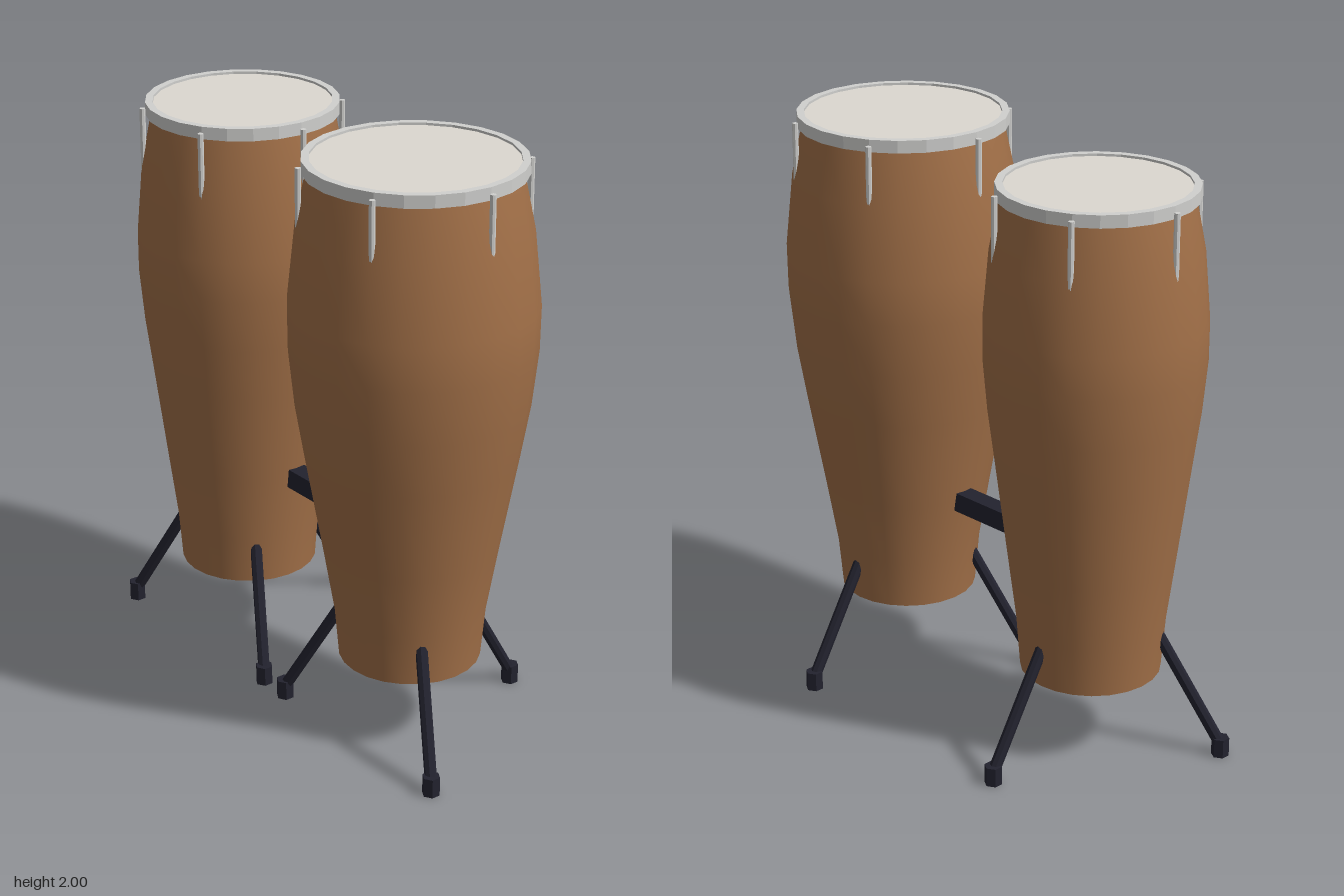
import * as THREE from 'three';

const wood = new THREE.MeshStandardMaterial({ color: 0xa27048, side: THREE.DoubleSide });
wood.name = 'wood';
const skin = new THREE.MeshStandardMaterial({ color: 0xdcd8d0 });
skin.name = 'drumSkin';
const chrome = new THREE.MeshStandardMaterial({ color: 0xd0d0ce, flatShading: true });
chrome.name = 'chrome';
const iron = new THREE.MeshStandardMaterial({ color: 0x22222e, flatShading: true });
iron.name = 'darkMetal';

const SIDES = 24;

function add(parent, name, geometry, material, x = 0, y = 0, z = 0) {
  const mesh = new THREE.Mesh(geometry, material);
  mesh.name = name;
  mesh.position.set(x, y, z);
  parent.add(mesh);
  return mesh;
}

// Round bar between two points
function rod(parent, name, a, b, radius, material) {
  const dir = b.clone().sub(a);
  const mesh = add(parent, name, new THREE.CylinderGeometry(radius, radius, dir.length(), 8), material);
  mesh.position.copy(a).add(b).multiplyScalar(0.5);
  mesh.quaternion.setFromUnitVectors(new THREE.Vector3(0, 1, 0), dir.normalize());
  return mesh;
}

function lathe(points) {
  return new THREE.LatheGeometry(points.map(([r, y]) => new THREE.Vector2(r, y)), SIDES);
}

function makeDrum(name, x, top, rimRadius, profile) {
  const drum = new THREE.Group();
  drum.name = name;
  drum.position.set(x, 0, 0.04);

  // Hollow shell, open at the bottom
  add(drum, 'shell', lathe(profile), wood);

  // Rim hoop and recessed head
  const inner = rimRadius - 0.025;
  add(drum, 'rim', lathe([
    [inner, top - 0.042], [rimRadius, top - 0.042], [rimRadius, top],
    [inner, top], [inner, top - 0.042],
  ]), chrome);
  add(drum, 'head', new THREE.CylinderGeometry(inner, inner, 0.025, SIDES), skin, 0, top - 0.0205, 0);

  // Six tuning rods around the rim
  for (let i = 0; i < 6; i++) {
    const a = i * Math.PI / 3, r = rimRadius + 0.009;
    add(drum, 'tuningRod', new THREE.CylinderGeometry(0.01, 0.01, 0.24, 8), chrome,
      r * Math.cos(a), top - 0.14, r * Math.sin(a));
  }

  // Centre post and tripod
  add(drum, 'centrePost', new THREE.CylinderGeometry(0.024, 0.024, 0.2, 12), chrome, 0, 0.33, 0);
  for (let i = 0; i < 3; i++) {
    const a = -Math.PI / 2 + i * Math.PI * 2 / 3;
    const at = (r, y) => new THREE.Vector3(r * Math.cos(a), y, r * Math.sin(a));
    rod(drum, 'leg', at(0.45, 0.04), at(0.17, 0.52), 0.02, iron);
    rod(drum, 'strut', at(0.015, 0.335), at(0.23, 0.335), 0.012, iron);
    const foot = at(0.45, 0.033);
    add(drum, 'foot', new THREE.CylinderGeometry(0.03, 0.03, 0.066, 6), iron, foot.x, foot.y, foot.z);
  }
  return drum;
}

export function createModel() {
  const model = new THREE.Group();
  model.name = 'drumPair';

  model.add(makeDrum('largeDrum', 0.45, 2.0, 0.354, [
    [0.235, 0.28], [0.25, 0.45], [0.289, 0.68], [0.346, 1.0], [0.378, 1.19],
    [0.398, 1.38], [0.4, 1.53], [0.374, 1.78], [0.335, 1.965],
  ]));
  model.add(makeDrum('smallDrum', -0.45, 1.958, 0.323, [
    [0.235, 0.28], [0.248, 0.45], [0.278, 0.68], [0.319, 1.0], [0.344, 1.19],
    [0.36, 1.37], [0.36, 1.51], [0.34, 1.74], [0.305, 1.92],
  ]));

  // Bar joining the two drums
  add(model, 'connectingBar', new THREE.BoxGeometry(0.5, 0.068, 0.066), iron, 0, 0.676, 0.036);
  return model;
}
